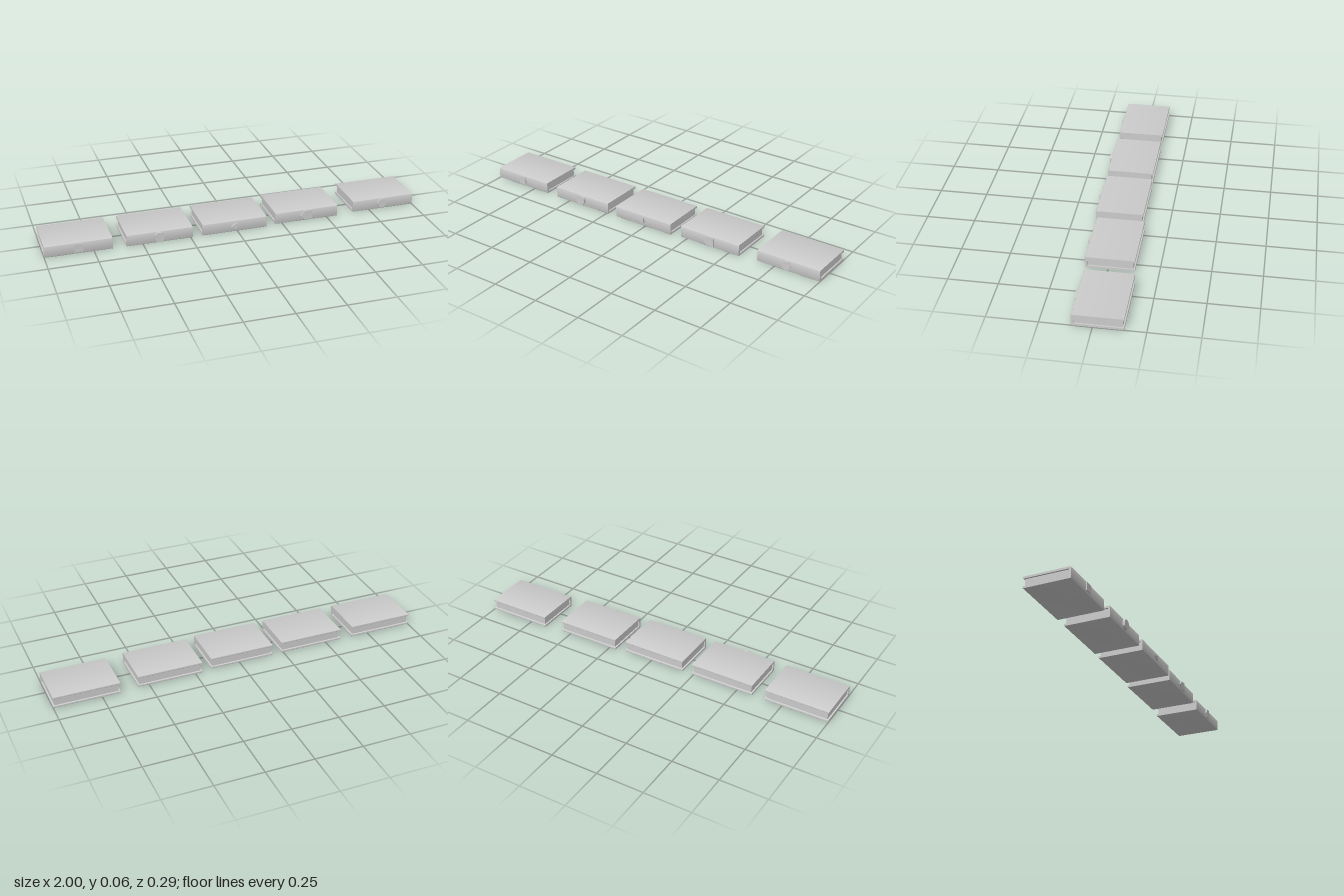
import * as THREE from 'three';
import { toCreasedNormals } from 'three/addons/utils/BufferGeometryUtils.js';

const W = 0.345, H = 0.061, D = 0.247, T = 0.011;
const material = new THREE.MeshStandardMaterial({ color: 0xcccccc });

function addMesh(group, name, geometry, x = 0, y = 0, z = 0) {
  const mesh = new THREE.Mesh(geometry, material);
  mesh.name = name;
  mesh.position.set(x, y, z);
  group.add(mesh);
}

// C-shaped binding profile (depth, height), spine at depth 0, boards running back
function coverGeometry() {
  const r = 0.006, e = 0.004, s = new THREE.Shape();
  s.moveTo(-r, 0);
  s.quadraticCurveTo(0, 0, 0, r);
  s.lineTo(0, H - r);
  s.quadraticCurveTo(0, H, -r, H);
  s.lineTo(-D + e, H);
  s.quadraticCurveTo(-D, H, -D, H - e);
  s.lineTo(-D, H - T + e);
  s.quadraticCurveTo(-D, H - T, -D + e, H - T);
  s.lineTo(-T, H - T);
  s.lineTo(-T, T);
  s.lineTo(-D + e, T);
  s.quadraticCurveTo(-D, T, -D, T - e);
  s.lineTo(-D, e);
  s.quadraticCurveTo(-D, 0, -D + e, 0);
  s.closePath();
  const g = new THREE.ExtrudeGeometry(s, { depth: W, bevelEnabled: false, curveSegments: 5 });
  g.translate(0, 0, -W / 2).rotateY(-Math.PI / 2);
  return toCreasedNormals(g, 0.6);
}

// Regular polygon whose first corner lies at the given angle
function polygon(sides, radius, start) {
  const points = [];
  for (let i = 0; i < sides; i++) {
    const a = start + (i / sides) * Math.PI * 2;
    points.push(new THREE.Vector2(Math.cos(a) * radius, Math.sin(a) * radius));
  }
  return new THREE.Shape(points);
}

function emblemGeometry(shape, rise) {
  const g = new THREE.ExtrudeGeometry(shape, { depth: rise + 0.004, bevelEnabled: false });
  g.translate(0, 0, -0.004);
  return toCreasedNormals(g, 0.6);
}

export function createModel() {
  const model = new THREE.Group();
  model.name = 'bookRow';

  // Block with a pointed left side
  const pointedBlock = new THREE.Shape([
    [-0.033, 0], [-0.01, -0.024], [0.029, -0.024], [0.029, 0.024], [-0.01, 0.024],
  ].map(([x, y]) => new THREE.Vector2(x, y)));

  // Book centre x, spine z, emblem shape, emblem offset and how far it stands out
  const books = [
    { x: -0.827, z: 0.133, name: 'squareEmblem', shape: polygon(4, 0.03, Math.PI / 4), dx: 0, rise: 0.006 },
    { x: -0.412, z: 0.133, name: 'roundEmblem', shape: polygon(32, 0.026, 0), dx: -0.004, rise: 0.013 },
    { x: -0.014, z: 0.13, name: 'triangleEmblem', shape: polygon(3, 0.019, Math.PI), dx: -0.001, rise: 0.009 },
    { x: 0.385, z: 0.115, name: 'pointedEmblem', shape: pointedBlock, dx: -0.001, rise: 0.008 },
    { x: 0.827, z: 0.1, name: 'hexagonEmblem', shape: polygon(6, 0.026, 0), dx: -0.008, rise: 0.009 },
  ];

  const cover = coverGeometry();
  const inset = 0.008;
  const pageDepth = D - T - inset;
  const pages = new THREE.BoxGeometry(W - 2 * inset, H - 2 * T, pageDepth);

  books.forEach((b, i) => {
    const book = new THREE.Group();
    book.name = `book${i + 1}`;
    book.position.set(b.x, 0, b.z);
    addMesh(book, 'cover', cover);
    addMesh(book, 'pages', pages, 0, H / 2, -T - pageDepth / 2);
    addMesh(book, b.name, emblemGeometry(b.shape, b.rise), b.dx, 0.033, 0);
    model.add(book);
  });
  return model;
}
